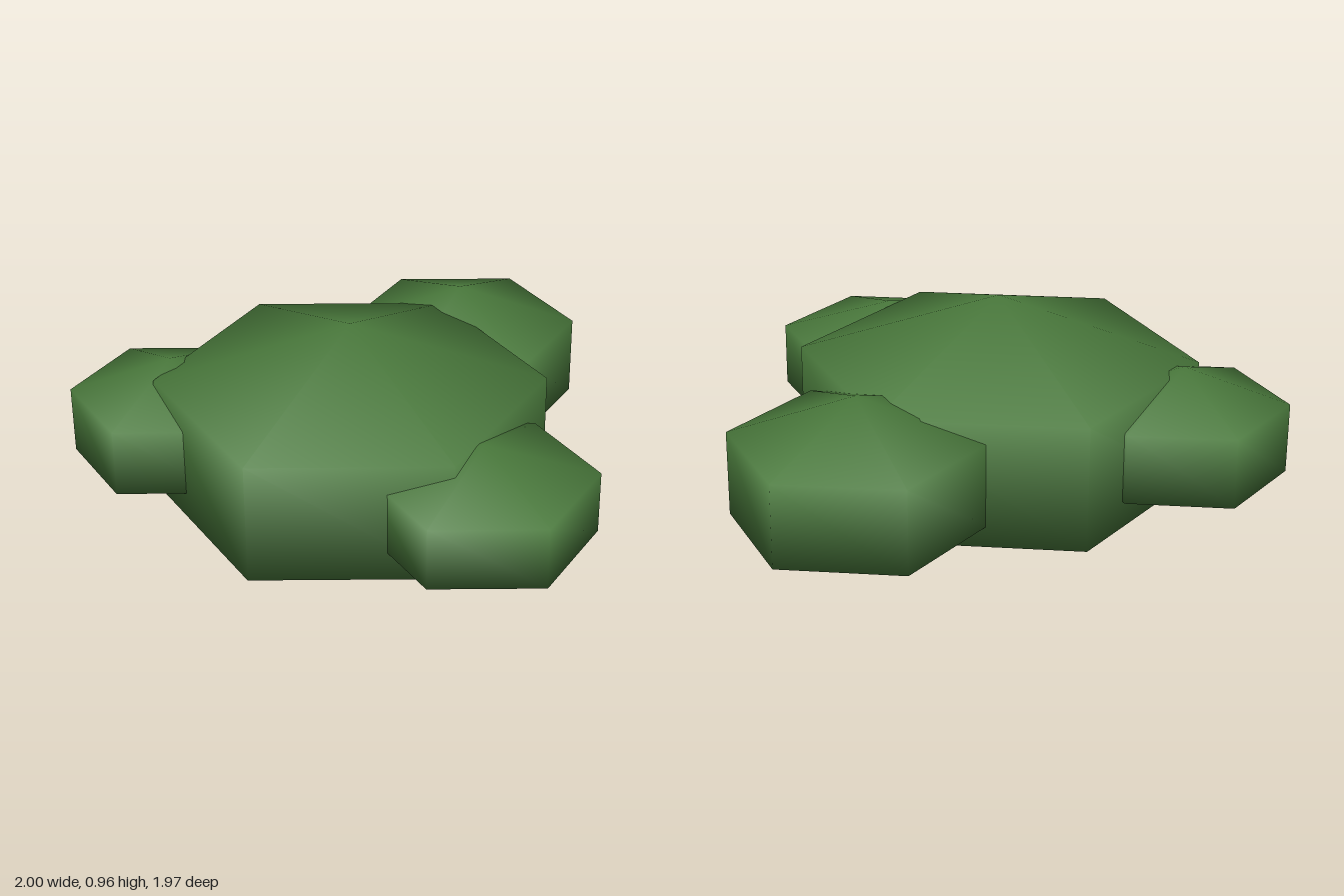
import * as THREE from 'three';

export function createModel() {
  const model = new THREE.Group();
  model.name = 'bush';

  const leafGreen = new THREE.MeshStandardMaterial({ color: 0x4a7a3c });
  leafGreen.name = 'leafGreen';

  // Smooth six-sided foliage clump: its widest rings have the given
  // corner radius and sit halfway between the middle and the poles.
  function clump(name, x, y, z, ringRadius, halfHeight) {
    const radius = ringRadius / Math.sin(Math.PI / 3);
    const geometry = new THREE.SphereGeometry(radius, 6, 3);
    geometry.rotateY(Math.PI / 2); // corners face front and back
    geometry.scale(1, halfHeight / radius, 1);
    const mesh = new THREE.Mesh(geometry, leafGreen);
    mesh.name = name;
    mesh.position.set(x, y, z);
    model.add(mesh);
  }

  clump('mainClump', -0.115, 0.483, -0.135, 0.755, 0.48);
  clump('leftClump', 0.592, 0.483, -0.467, 0.468, 0.322);
  clump('rightClump', -0.658, 0.484, -0.593, 0.395, 0.27);
  clump('frontClump', 0.048, 0.483, 0.553, 0.431, 0.248);

  return model;
}
